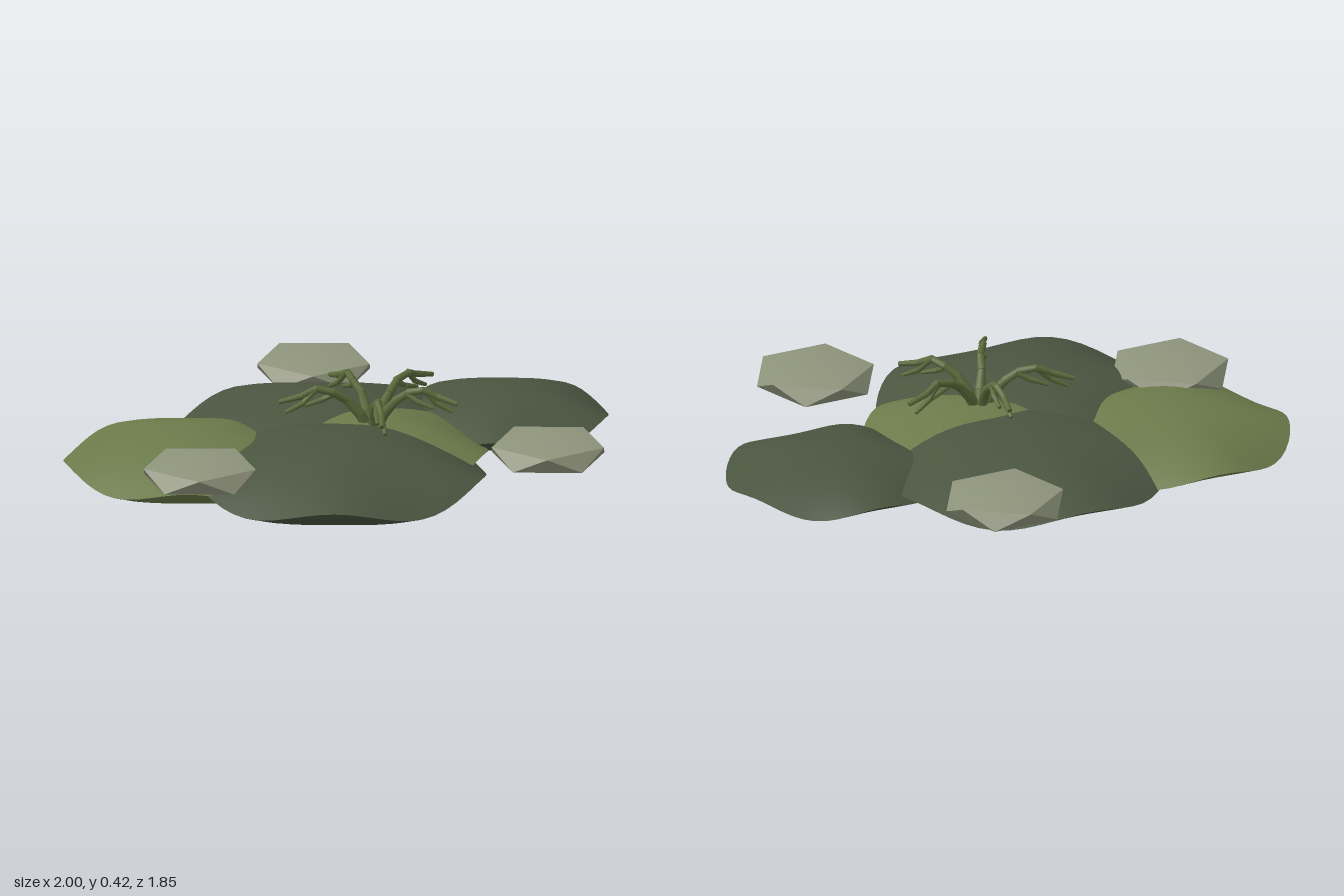
import * as THREE from 'three';

const mat = (name, color, flatShading = false) => {
  const m = new THREE.MeshStandardMaterial({ color, flatShading });
  m.name = name;
  return m;
};

// One half of a round cushion: a shallow dome on a rim that waves five times
function domeGeometry(r, h, up) {
  const rings = 14, sides = 60, pos = [0, up * h, 0], idx = [];
  for (let i = 1; i <= rings; i++) {
    const t = i / rings;
    for (let j = 0; j < sides; j++) {
      const a = (j / sides) * Math.PI * 2;
      const wave = 0.18 * h * Math.cos(5 * a) * t ** 3;
      pos.push(Math.cos(a) * r * t, up * h * (1 - t * t) + wave, -Math.sin(a) * r * t);
    }
  }
  const tri = (a, b, c) => (up > 0 ? idx.push(a, b, c) : idx.push(a, c, b));
  for (let j = 0; j < sides; j++) {
    const k = (j + 1) % sides;
    tri(0, 1 + j, 1 + k);
    for (let i = 0; i < rings - 1; i++) {
      const p = 1 + i * sides, q = p + sides;
      tri(p + j, q + j, q + k);
      tri(p + j, q + k, p + k);
    }
  }
  const g = new THREE.BufferGeometry();
  g.setAttribute('position', new THREE.Float32BufferAttribute(pos, 3));
  g.setIndex(idx);
  g.computeVertexNormals();
  return g;
}

// Flattened twenty-sided stone standing on a corner: smooth caps, faceted belt
function stoneParts(r, h) {
  const ring = (y, offset) => Array.from({ length: 5 }, (_, i) => {
    const a = ((i * 2 + offset) * Math.PI) / 5;
    return [Math.cos(a) * r, y, -Math.sin(a) * r];
  });
  const top = ring(h * 0.447, 0), low = ring(-h * 0.447, 1);
  const build = (points, faces) => {
    const g = new THREE.BufferGeometry();
    g.setAttribute('position', new THREE.Float32BufferAttribute(points.flat(), 3));
    g.setIndex(faces);
    return g;
  };
  const capTop = [], capLow = [], belt = [];
  for (let i = 0; i < 5; i++) {
    const k = (i + 1) % 5;
    capTop.push(0, 1 + i, 1 + k);
    capLow.push(0, 1 + k, 1 + i);
    belt.push(i, 5 + i, k, k, 5 + i, 5 + k);
  }
  const geos = [
    build([[0, h, 0], ...top], capTop),
    build([[0, -h, 0], ...low], capLow),
    build([...top, ...low], belt).toNonIndexed(),
  ];
  geos.forEach((g) => g.computeVertexNormals());
  return geos;
}

// Chain of tapered cylinders through [distance, height, sideways, radius] stations
function addStalk(parent, stations, material, name) {
  for (let i = 0; i < stations.length - 1; i++) {
    const [r0, y0, s0, w0] = stations[i], [r1, y1, s1, w1] = stations[i + 1];
    const a = new THREE.Vector3(r0, y0, s0), b = new THREE.Vector3(r1, y1, s1);
    const dir = b.clone().sub(a);
    const seg = new THREE.Mesh(
      new THREE.CylinderGeometry(w1 * 0.9, w0, dir.length() + w1 * 0.6, 7), material);
    seg.position.copy(a).add(b).multiplyScalar(0.5);
    seg.quaternion.setFromUnitVectors(new THREE.Vector3(0, 1, 0), dir.normalize());
    seg.name = name;
    parent.add(seg);
  }
}

export function createModel() {
  const model = new THREE.Group();
  model.name = 'mossCluster';
  const darkMoss = mat('dark moss', 0x4a5540);
  const lightMoss = mat('light moss', 0x6b7a4a);
  const stone = mat('pale stone', 0x8f947c);
  const stem = mat('stem green', 0x5c6b3c);

  // Overlapping moss cushions: name, x, y, z, radius, half height, colour
  const cushions = [
    ['frontCushion', 0.04, 0.155, 0.34, 0.56, 0.147, darkMoss],
    ['leftSideCushion', -0.53, 0.153, 0.36, 0.47, 0.123, lightMoss],
    ['backCushion', -0.18, 0.153, -0.13, 0.555, 0.134, darkMoss],
    ['cornerCushion', 0.395, 0.155, -0.53, 0.4, 0.105, darkMoss],
    ['centreCushion', 0.05, 0.15, 0.02, 0.455, 0.13, lightMoss],
  ];
  for (const [name, x, y, z, r, h, m] of cushions) {
    const group = new THREE.Group();
    group.name = name;
    group.position.set(x, y, z);
    for (const up of [1, -1]) {
      const half = new THREE.Mesh(domeGeometry(r, h, up), m);
      half.name = up > 0 ? 'cushionTop' : 'cushionUnderside';
      group.add(half);
    }
    model.add(group);
  }

  // Three stones around the edge
  const stoneGeos = stoneParts(0.22, 0.07);
  for (const [x, z] of [[0.775, 0.05], [-0.37, -0.61], [-0.37, 0.71]]) {
    const group = new THREE.Group();
    group.name = 'stone';
    group.position.set(x, 0.2375, z);
    stoneGeos.forEach((g, i) => {
      const part = new THREE.Mesh(g, stone);
      part.name = ['stoneTop', 'stoneUnderside', 'stoneBelt'][i];
      group.add(part);
    });
    model.add(group);
  }

  // Five arching stalks with drooping twigs
  const plant = new THREE.Group();
  plant.name = 'sprig';
  plant.position.set(0.085, 0, 0.05);
  const angles = [4, 70, 140, 209, 295], lengths = [1, 1.07, 0.95, 1.08, 1.1];
  angles.forEach((deg, i) => {
    const stalk = new THREE.Group();
    stalk.name = 'stalk';
    stalk.rotation.y = (deg * Math.PI) / 180;
    stalk.scale.set(lengths[i], 1, 1);
    addStalk(stalk, [
      [0.015, 0.25, 0, 0.022], [0.045, 0.31, 0, 0.02], [0.09, 0.365, 0.004, 0.017],
      [0.14, 0.4, -0.004, 0.015], [0.195, 0.415, 0.004, 0.014], [0.25, 0.392, -0.003, 0.013],
      [0.325, 0.372, 0.004, 0.01],
    ], stem, 'stalkSegment');
    addStalk(stalk, [
      [0.13, 0.395, 0, 0.012], [0.175, 0.37, 0.008, 0.011], [0.235, 0.35, 0.01, 0.008],
    ], stem, 'twig');
    addStalk(stalk, [
      [0.2, 0.412, 0, 0.012], [0.245, 0.365, -0.008, 0.011], [0.305, 0.335, -0.01, 0.008],
    ], stem, 'twig');
    plant.add(stalk);
  });
  model.add(plant);
  return model;
}
